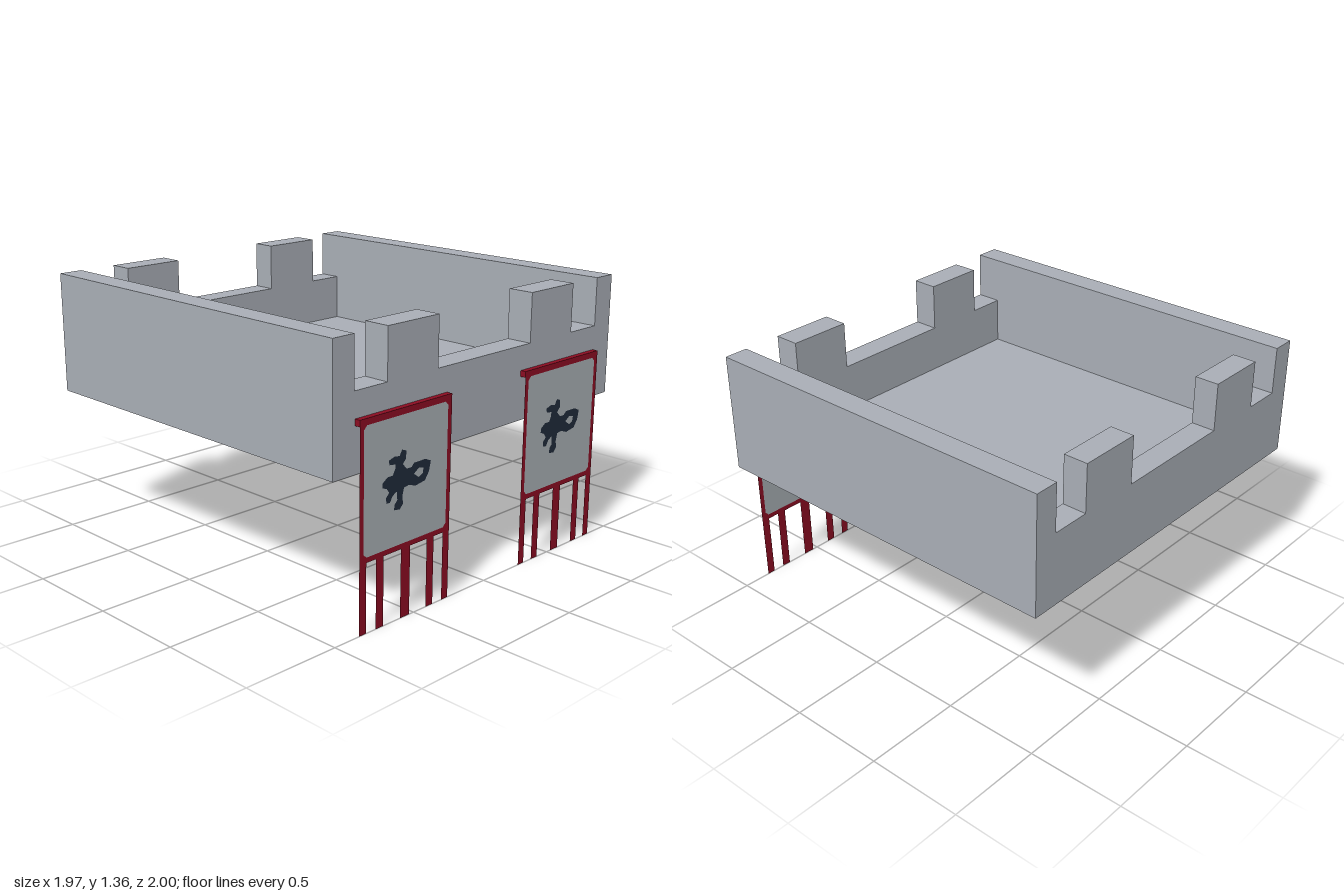
import * as THREE from 'three';

const material = (name, color) => {
  const m = new THREE.MeshStandardMaterial({ color, side: THREE.DoubleSide });
  m.name = name;
  return m;
};

const X = 0.983, XI = 0.857;            // outer and inner wall, sideways
const FRONT = 0.97, FRONT_IN = 0.835;   // front wall, outer and inner
const BACK = -1, BACK_IN = -0.875;      // back wall, outer and inner
const BASE = 0.74, FLOOR = 0.865, LOW = 1.11, TOP = 1.355;

const vectors = (pts, s = 1, dy = 0) => pts.map(([x, y]) => new THREE.Vector2(x * s, y * s + dy));

// Top line of the front and back walls, between the side walls
const halfLine = [[0.33, LOW], [0.33, TOP], [0.657, TOP], [0.657, LOW], [XI, LOW], [XI, TOP]];
const battlement = [...halfLine.map(([x, y]) => [-x, y]).reverse(), ...halfLine];

function add(parent, name, geometry, mat, x = 0, y = 0, z = 0) {
  const mesh = new THREE.Mesh(geometry, mat);
  mesh.name = name;
  mesh.position.set(x, y, z);
  parent.add(mesh);
  return mesh;
}

// Open strip that carries a line in x and y from z0 to z1
function strip(line, z0, z1) {
  const position = [];
  for (let i = 0; i < line.length - 1; i++) {
    const [a, b] = [line[i], line[i + 1]];
    position.push(...a, z1, ...b, z1, ...b, z0, ...a, z1, ...b, z0, ...a, z0);
  }
  const g = new THREE.BufferGeometry();
  g.setAttribute('position', new THREE.Float32BufferAttribute(position, 3));
  g.computeVertexNormals();
  return g;
}

// Flat wall face under the battlement line
function wallFace(x, bottom, back) {
  const corner = x > XI ? [[x, TOP]] : [];
  const pts = [[-x, bottom], ...corner.map(([cx, cy]) => [-cx, cy]), ...battlement, ...corner, [x, bottom]];
  const g = new THREE.ShapeGeometry(new THREE.Shape(vectors(pts)));
  return back ? g.rotateY(Math.PI) : g;
}

function rectangle(x0, x1, y0, y1) {
  return new THREE.Shape(vectors([[x0, y0], [x1, y0], [x1, y1], [x0, y1]]));
}

// Blot on the banners, in hundredths about its middle
const blot = [
  [-11.6, 11], [-7.9, 12.1], [-4.7, 11.6], [-3.2, 14.2], [-0.5, 13.2], [-0.5, 9.5], [-2.6, 7.4],
  [0, 4.7], [3.2, 4.7], [4.7, 6.3], [12.1, 6.3], [15.8, 4.7], [14.7, 0], [12.1, -3.7], [5.8, -4.7],
  [1.6, -3.2], [-1.6, -3.7], [-2.6, -7.4], [-2.1, -11], [-4.2, -13.2], [-7.9, -12.6], [-7.4, -10],
  [-5.8, -8.4], [-6.3, -4.2], [-8.9, -5.8], [-10.5, -8.4], [-12.6, -8.4], [-13.2, -5.8], [-11, -3.7],
  [-12.6, -1.6], [-15.3, -0.5], [-15.3, 1.6], [-12.1, 3.7], [-8.9, 3.7], [-7.4, 6.3], [-7.4, 8.4], [-11, 8.9],
];
const blotHole = [[4.7, 1.1], [7.9, 3.2], [11, 2.6], [10.5, 0], [7.9, -1.1]];

function createBanner(cloth, trim, ink) {
  const banner = new THREE.Group();
  banner.name = 'banner';
  const flat = (name, shapes, mat) => add(banner, name, new THREE.ShapeGeometry(shapes), mat);

  // Cloth outline with clipped corners
  const [w, y0, y1, c] = [0.268, 0.36, 0.958, 0.018];
  const panel = vectors([[-w + c, y0], [w - c, y0], [w, y0 + c], [w, y1 - c],
    [w - c, y1], [-w + c, y1], [-w, y1 - c], [-w, y0 + c]]);

  const border = rectangle(-0.293, 0.293, 0.335, 0.988);
  border.holes.push(new THREE.Path(panel));
  const fringe = [[-0.293, -0.25], [-0.188, -0.141], [-0.03, 0.03], [0.141, 0.188], [0.25, 0.293]]
    .map(([a, b]) => rectangle(a, b, 0, 0.335));
  flat('bannerBorder', border, trim);
  flat('bannerFringe', fringe, trim);

  const outline = vectors(blot, 0.01, 0.658), hole = vectors(blotHole, 0.01, 0.658);
  const cloths = new THREE.Shape(panel);
  cloths.holes.push(new THREE.Path(outline));
  flat('bannerCloth', [cloths, new THREE.Shape(hole)], cloth);
  const emblem = new THREE.Shape(outline);
  emblem.holes.push(new THREE.Path(hole));
  flat('bannerBlot', emblem, ink);

  // Top hem that reaches back to the wall
  add(banner, 'bannerHem', new THREE.BoxGeometry(0.586, 0.03, 0.029), trim, 0, 0.973, -0.0155);
  return banner;
}

export function createModel() {
  const stone = material('stone', 0xa9aeb6);
  const cloth = material('cloth', 0xa9b0b4);
  const trim = material('redTrim', 0x8c0d22);
  const ink = material('darkInk', 0x1f2b3b);

  const model = new THREE.Group();
  model.name = 'battlementWithBanners';

  // Hollow parapet, open underneath
  const parapet = new THREE.Group();
  parapet.name = 'parapet';
  model.add(parapet);
  add(parapet, 'frontWallOuter', wallFace(X, BASE, false), stone, 0, 0, FRONT);
  add(parapet, 'frontWallInner', wallFace(XI, FLOOR, true), stone, 0, 0, FRONT_IN);
  add(parapet, 'frontWallTop', strip(battlement, FRONT_IN, FRONT), stone);
  add(parapet, 'backWallOuter', wallFace(X, BASE, true), stone, 0, 0, BACK);
  add(parapet, 'backWallInner', wallFace(XI, FLOOR, false), stone, 0, 0, BACK_IN);
  add(parapet, 'backWallTop', strip(battlement, BACK, BACK_IN), stone);
  add(parapet, 'leftWallOuter', strip([[X, TOP], [X, BASE]], BACK, FRONT), stone);
  add(parapet, 'leftWallTop', strip([[XI, TOP], [X, TOP]], BACK, FRONT), stone);
  add(parapet, 'leftWallInner', strip([[XI, FLOOR], [XI, TOP]], BACK_IN, FRONT_IN), stone);
  add(parapet, 'rightWallOuter', strip([[-X, BASE], [-X, TOP]], BACK, FRONT), stone);
  add(parapet, 'rightWallTop', strip([[-X, TOP], [-XI, TOP]], BACK, FRONT), stone);
  add(parapet, 'rightWallInner', strip([[-XI, TOP], [-XI, FLOOR]], BACK_IN, FRONT_IN), stone);
  add(parapet, 'floor', strip([[-XI, FLOOR], [XI, FLOOR]], BACK_IN, FRONT_IN), stone);

  // Two banners hanging on the front
  for (const [name, x] of [['leftBanner', 0.558], ['rightBanner', -0.56]]) {
    const banner = createBanner(cloth, trim, ink);
    banner.name = name;
    banner.position.set(x, 0, 1);
    model.add(banner);
  }
  return model;
}
